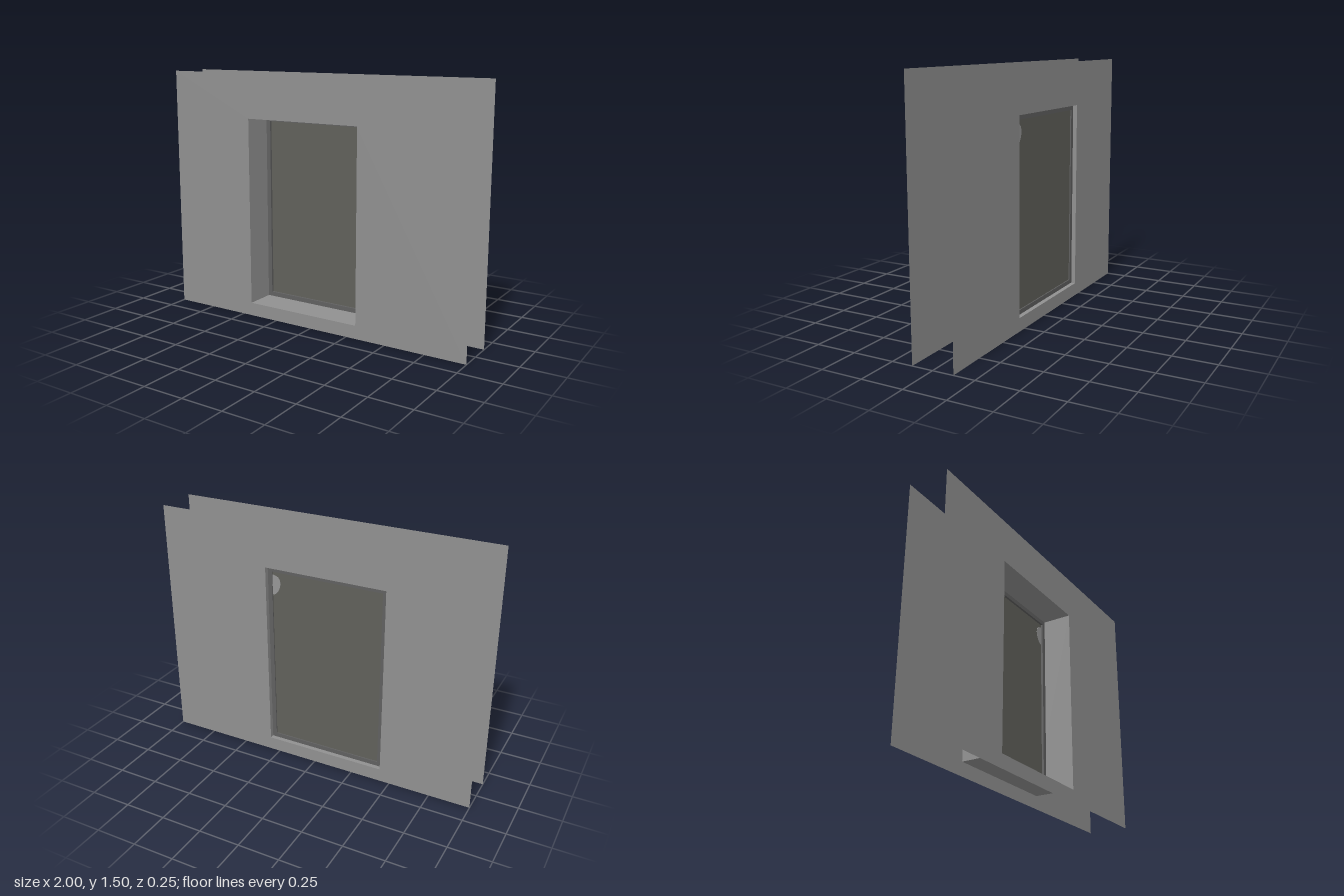
import * as THREE from 'three';

// Opening in the wall
const L = -0.4375, R = 0.3125, B = 0.081, T = 1.231;
const HALF = 0.125;

function material(name, color, side = THREE.FrontSide) {
  const m = new THREE.MeshStandardMaterial({ color, side });
  m.name = name;
  return m;
}

function rect(Type, l, r, b, t) {
  const p = new Type();
  p.moveTo(l, b);
  p.lineTo(r, b);
  p.lineTo(r, t);
  p.lineTo(l, t);
  p.closePath();
  return p;
}

function extrude(shape, zBack, zFront) {
  const g = new THREE.ExtrudeGeometry(shape, { depth: zFront - zBack, bevelEnabled: false });
  return g.translate(0, 0, zBack);
}

export function createModel() {
  const group = new THREE.Group();
  const wallMat = material('wall grey', 0x909090, THREE.DoubleSide);
  const frameMat = material('frame dark grey', 0x606060);
  const paneMat = material('pane dark olive grey', 0x60605a);
  const patchMat = material('patch light grey', 0x969696);

  const add = (name, geometry, mat) => {
    const mesh = new THREE.Mesh(geometry, mat);
    mesh.name = name;
    group.add(mesh);
    return mesh;
  };

  // Front and back wall skins, open around their outer edges
  const skin = rect(THREE.Shape, -1, 1, 0, 1.5);
  skin.holes.push(rect(THREE.Path, L, R, B, T));
  for (const [name, z] of [['frontWall', HALF], ['backWall', -HALF]]) {
    const g = new THREE.ShapeGeometry(skin);
    if (z < 0) g.rotateY(Math.PI).scale(-1, 1, 1);
    add(name, g, wallMat).position.z = z;
  }

  // Reveal: four thin sheets lining the opening between the skins
  const cx = (L + R) / 2, cy = (B + T) / 2;
  for (const [name, y, turn] of [['revealSill', B, -1], ['revealHead', T, 1]]) {
    const g = new THREE.PlaneGeometry(R - L, 2 * HALF).rotateX(turn * Math.PI / 2);
    add(name, g, wallMat).position.set(cx, y, 0);
  }
  for (const [name, x, turn] of [['revealRight', L, 1], ['revealLeft', R, -1]]) {
    const g = new THREE.PlaneGeometry(2 * HALF, T - B).rotateY(turn * Math.PI / 2);
    add(name, g, wallMat).position.set(x, cy, 0);
  }

  // Window frame set toward the back of the opening
  const gap = 0.002, bar = 0.029;
  const frame = rect(THREE.Shape, L + gap, R - gap, B + gap, T - gap);
  frame.holes.push(rect(THREE.Path, L + bar, R - bar, B + bar, T - bar));
  add('windowFrame', extrude(frame, -0.1, -0.055), frameMat);

  // Pane
  const pane = rect(THREE.Shape, L + bar, R - bar, B + bar, T - bar);
  add('windowPane', extrude(pane, -0.093, -0.068), paneMat);

  // Pale patch by the upper corner, showing on both faces of the pane
  const e = R - bar;
  const patch = new THREE.Shape();
  patch.moveTo(e, 1.06);
  patch.lineTo(e, 1.182);
  patch.quadraticCurveTo(0.252, 1.178, 0.24, 1.163);
  patch.quadraticCurveTo(0.223, 1.13, 0.245, 1.09);
  patch.quadraticCurveTo(0.262, 1.058, e, 1.06);
  add('panePatch', extrude(patch, -0.095, -0.066), patchMat);

  return group;
}
